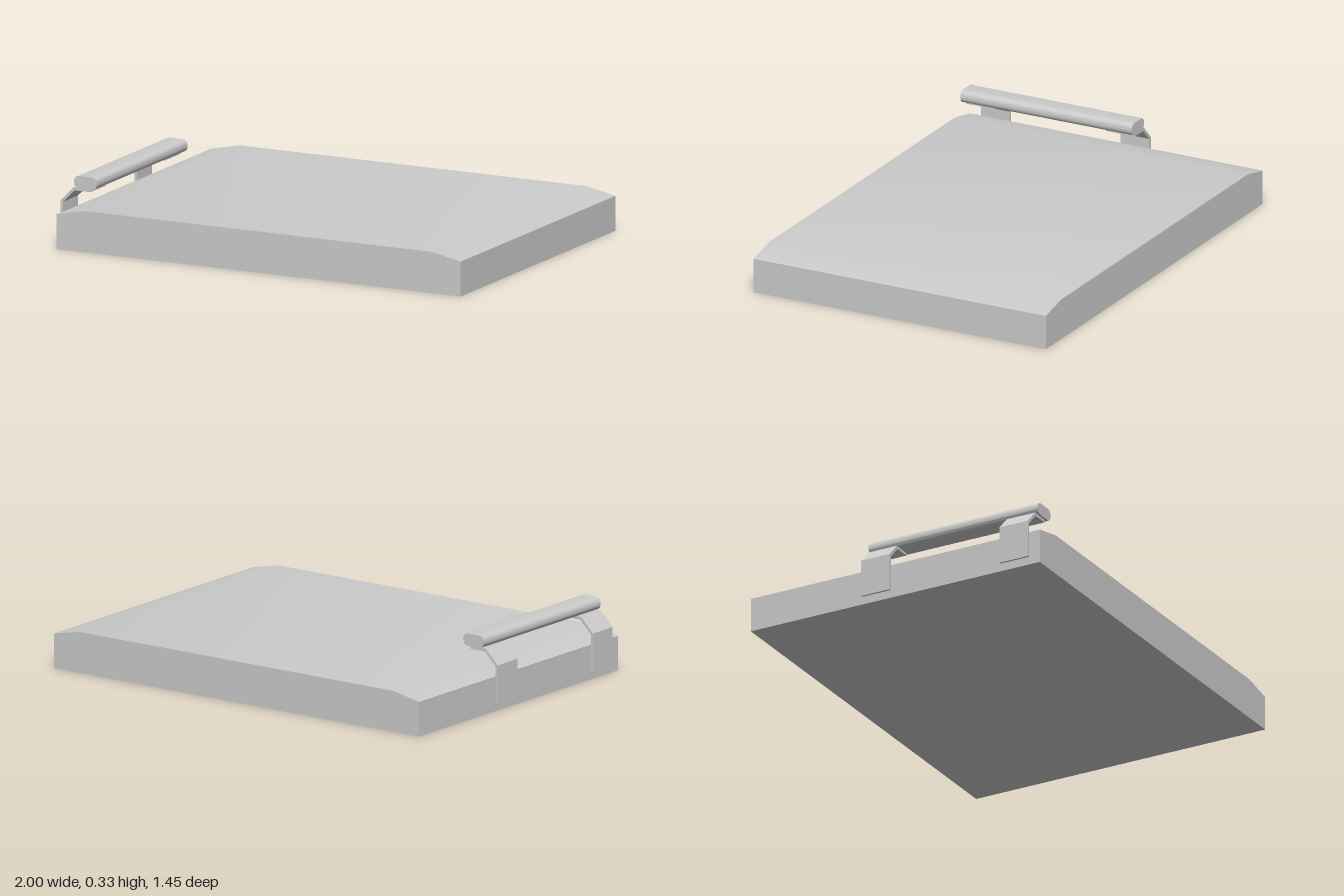
import * as THREE from 'three';
import { toCreasedNormals } from 'three/addons/utils/BufferGeometryUtils.js';

const material = new THREE.MeshStandardMaterial({ color: 0xcccccc });

// Extrudes an x-y outline from z0 to z1
function extrudeZ(name, shape, z0, z1) {
  const geometry = new THREE.ExtrudeGeometry(shape, { depth: z1 - z0, bevelEnabled: false, curveSegments: 8 });
  geometry.translate(0, 0, z0);
  const mesh = new THREE.Mesh(toCreasedNormals(geometry, Math.PI / 6), material);
  mesh.name = name;
  return mesh;
}

function outline(points) {
  return new THREE.Shape(points.map(([x, y]) => new THREE.Vector2(x, y)));
}

// Rectangle with rounded corners
function roundedOutline(x0, y0, x1, y1, r) {
  const s = new THREE.Shape();
  s.absarc(x1 - r, y0 + r, r, -Math.PI / 2, 0);
  s.absarc(x1 - r, y1 - r, r, 0, Math.PI / 2);
  s.absarc(x0 + r, y1 - r, r, Math.PI / 2, Math.PI);
  s.absarc(x0 + r, y0 + r, r, Math.PI, Math.PI * 1.5);
  s.closePath();
  return s;
}

export function createModel() {
  const model = new THREE.Group();
  model.name = 'panelWithHandle';

  // Slab with shallow sloping ends
  model.add(extrudeZ('slab', outline([
    [-0.99, 0], [1, 0], [1, 0.156], [0.86, 0.185], [-0.85, 0.185], [-0.99, 0.156],
  ]), -0.725, 0.725));

  // Bent strap brackets that carry the handle
  const strap = outline([
    [-1, 0.037], [-0.988, 0.037], [-0.988, 0.201], [-0.93, 0.258],
    [-0.853, 0.258], [-0.853, 0.272], [-0.936, 0.272], [-1, 0.207],
  ]);
  for (const [name, z] of [['rearBracket', -0.165], ['frontBracket', 0.528]]) {
    model.add(extrudeZ(name, strap, z, z + 0.143));
  }

  // Rounded handle bar
  model.add(extrudeZ('handleBar', roundedOutline(-0.928, 0.271, -0.816, 0.327, 0.025), -0.17, 0.68));

  return model;
}
